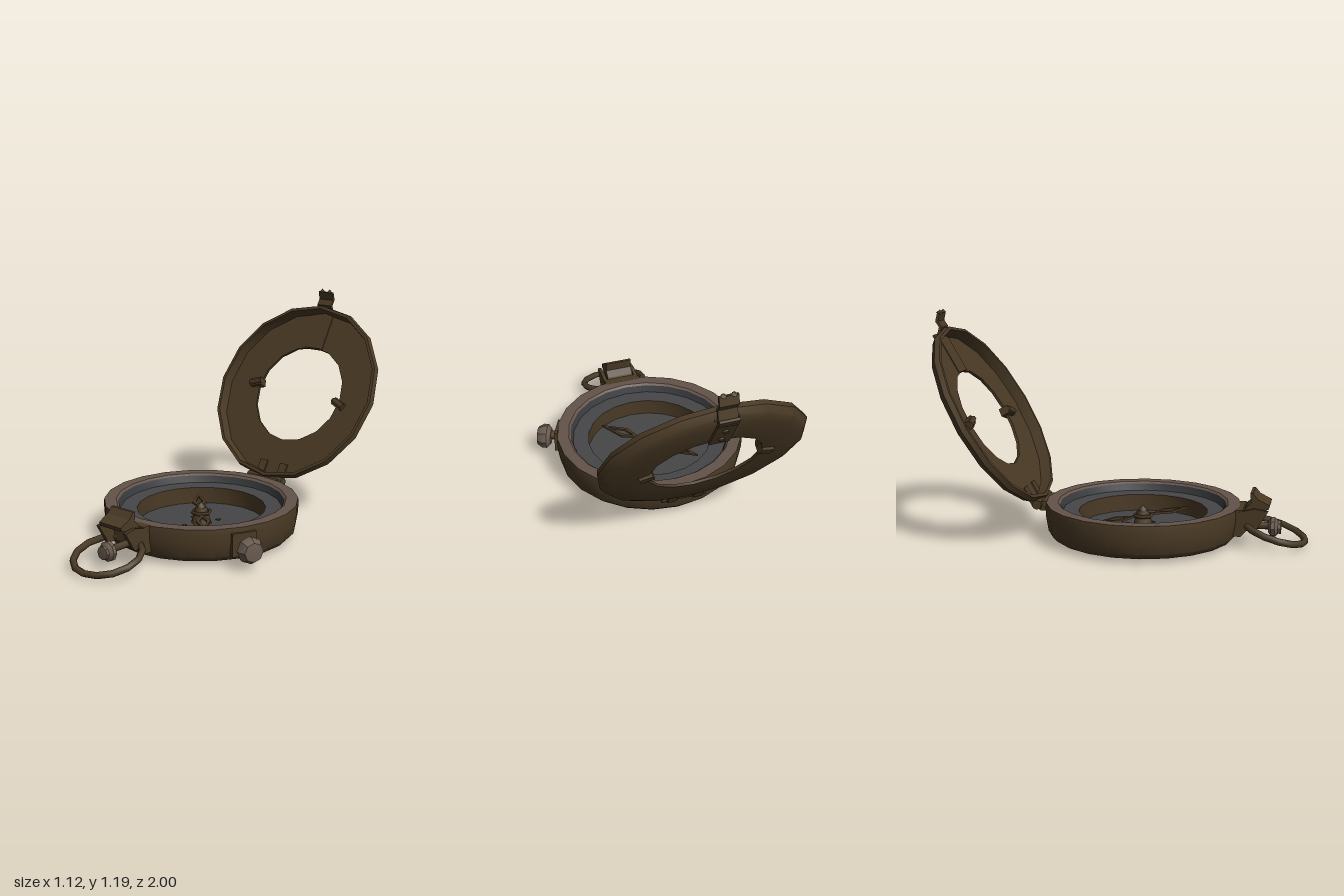
import * as THREE from 'three';
import { toCreasedNormals } from 'three/addons/utils/BufferGeometryUtils.js';

const mat = (name, color) => {
  const m = new THREE.MeshStandardMaterial({ color, side: THREE.DoubleSide });
  m.name = name;
  return m;
};
const CX = -0.037, CZ = 0.125; // axis of the case

export function createModel() {
  const bronze = mat('dark bronze', 0x4a3a25);
  const rimTone = mat('worn rim', 0x64544a);
  const grey = mat('dial grey', 0x464648);
  const shade = mat('dark inner band', 0x393b3e);
  const steel = mat('knob metal', 0x6a5b50);

  const root = new THREE.Group();
  root.name = 'pocketCompass';

  const add = (parent, name, geo, material, x = 0, y = 0, z = 0) => {
    const mesh = new THREE.Mesh(geo, material);
    mesh.name = name;
    mesh.position.set(x, y, z);
    parent.add(mesh);
    return mesh;
  };
  const lathe = (pts, seg) => toCreasedNormals(
    new THREE.LatheGeometry(pts.map(p => new THREE.Vector2(...p)), seg), 0.6);
  const box = (w, h, d) => new THREE.BoxGeometry(w, h, d);
  // side outline given as (z, y), extruded across x
  const prism = (pts, width) => {
    const shape = new THREE.Shape(pts.map(p => new THREE.Vector2(...p)));
    const g = new THREE.ExtrudeGeometry(shape, { depth: width, bevelEnabled: false });
    return g.translate(0, 0, -width / 2).rotateY(-Math.PI / 2);
  };

  // Case: one continuous turned profile, split by colour
  const base = new THREE.Group();
  base.name = 'case';
  base.position.set(CX, 0, CZ);
  root.add(base);
  [
    ['caseShell', [[0, 0.003], [0.08, 0.003], [0.085, 0.006], [0.25, 0.006], [0.27, 0.002], [0.39, 0.008],
      [0.475, 0.024], [0.5, 0.05], [0.512, 0.12], [0.515, 0.175], [0.512, 0.2]], bronze],
    ['caseRim', [[0.512, 0.2], [0.45, 0.2], [0.438, 0.19]], rimTone],
    ['innerBand', [[0.438, 0.19], [0.425, 0.153]], shade],
    ['dialRing', [[0.425, 0.153], [0.34, 0.15]], grey],
    ['wellWall', [[0.34, 0.15], [0.34, 0.06]], bronze],
    ['dialFloor', [[0.34, 0.06], [0, 0.06]], grey],
  ].forEach(([n, p, m]) => add(base, n, lathe(p, 22), m));

  // Needle: two open diamonds around a hub
  const diamond = (a, b, w) => [[a, 0], [a + (b - a) * 0.4, -w], [b, 0], [a + (b - a) * 0.4, w]]
    .map(p => new THREE.Vector2(...p));
  const needleShape = new THREE.Shape(diamond(0.06, 0.3, 0.038));
  needleShape.holes.push(new THREE.Path(diamond(0.1, 0.255, 0.02)));
  const needleGeo = new THREE.ExtrudeGeometry(needleShape, { depth: 0.012, bevelEnabled: false });
  needleGeo.rotateX(-Math.PI / 2);
  for (const turn of [-Math.PI / 4, Math.PI * 0.75]) {
    add(base, 'needleArm', needleGeo, bronze, 0, 0.115, 0).rotation.y = turn;
  }
  add(base, 'needleHub', new THREE.CylinderGeometry(0.03, 0.055, 0.09, 6), bronze, 0, 0.105, 0);
  add(base, 'needleCap', new THREE.ConeGeometry(0.025, 0.03, 6), bronze, 0, 0.165, 0);
  const collar = new THREE.TorusGeometry(0.05, 0.01, 4, 6).rotateX(Math.PI / 2);
  add(base, 'needleCollar', collar, bronze, 0, 0.122, 0);
  for (let i = 0; i < 4; i++) {
    const a = i * Math.PI / 2 + 0.4;
    add(base, 'dialMark', box(0.02, 0.004, 0.02), bronze,
      Math.cos(a) * 0.1, 0.063, Math.sin(a) * 0.1);
  }

  // Lid: shallow ring-shaped cup, leaning back
  const lid = new THREE.Group();
  lid.name = 'lid';
  lid.position.set(CX, 0.612, -0.73);
  lid.rotation.x = THREE.MathUtils.degToRad(59.5);
  root.add(lid);
  add(lid, 'lidCup', lathe([[0.285, 0.015], [0.285, 0], [0.46, 0], [0.505, 0.018], [0.528, 0.05],
    [0.52, 0.077], [0.503, 0.077], [0.495, 0.015], [0.285, 0.015]], 16), bronze);
  add(lid, 'lidInnerPlate', box(0.12, 0.006, 0.22), bronze, 0, 0.017, -0.39);
  add(lid, 'lidStrap', box(0.1, 0.014, 0.24), bronze, 0, -0.006, -0.4);
  for (const z of [-0.33, -0.42]) {
    add(lid, 'strapRivet', new THREE.CylinderGeometry(0.016, 0.016, 0.012, 8), bronze, 0, -0.016, z);
  }
  for (const [x, z, turn] of [[-0.305, -0.02, 0.3], [0.295, 0.025, -0.4]]) {
    const clip = new THREE.Group();
    clip.name = 'sightClip';
    clip.position.set(x, 0.012, z);
    clip.rotation.y = turn;
    lid.add(clip);
    add(clip, 'clipBlock', box(0.07, 0.055, 0.045), bronze);
    const pin = add(clip, 'clipPin', new THREE.CylinderGeometry(0.016, 0.016, 0.08, 6), bronze, 0, 0.025, 0);
    pin.rotation.z = Math.PI / 2;
  }

  // Bent catch at the top of the lid
  add(root, 'lidCatch', prism([[-0.99, 1.02], [-0.975, 1.02], [-0.952, 1.1], [-0.972, 1.13], [-0.962, 1.175],
    [-0.976, 1.175], [-0.988, 1.13], [-0.968, 1.1]], 0.095), bronze, CX, 0, 0);
  for (const s of [-1, 1]) {
    add(root, 'catchTooth', new THREE.ConeGeometry(0.02, 0.018, 4), bronze, CX + s * 0.025, 1.182, -0.97);
  }

  // Hinge
  const hingePin = new THREE.CylinderGeometry(0.026, 0.026, 0.24, 8).rotateZ(Math.PI / 2);
  add(root, 'hingePin', hingePin, bronze, CX, 0.178, -0.425);
  add(root, 'hingeLeaf', box(0.2, 0.05, 0.05), bronze, CX, 0.17, -0.39);
  for (const s of [-1, 1]) {
    const leaf = add(root, 'hingeLidLeaf', box(0.05, 0.11, 0.015), bronze, CX + s * 0.07, 0.21, -0.475);
    leaf.rotation.x = -0.53;
  }

  // Front latch: lug block with a raised thumb piece
  add(root, 'latchBlock', prism([[0.61, 0.06], [0.65, 0.06], [0.685, 0.1], [0.685, 0.165], [0.66, 0.2],
    [0.61, 0.2]], 0.2), bronze, CX, 0, 0);
  add(root, 'thumbPiece', prism([[0.65, 0.17], [0.71, 0.185], [0.79, 0.205], [0.795, 0.225], [0.735, 0.255],
    [0.71, 0.285], [0.695, 0.285], [0.7, 0.235], [0.67, 0.205]], 0.15), bronze, CX, 0, 0);
  for (const s of [-1, 1]) {
    add(root, 'latchCheek', prism([[0.64, 0.09], [0.73, 0.1], [0.79, 0.2], [0.72, 0.21], [0.64, 0.19]], 0.02),
      bronze, CX + s * 0.092, 0, 0);
  }

  // Latch screw with a turned head
  const latchPost = new THREE.CylinderGeometry(0.02, 0.02, 0.12, 8).rotateX(Math.PI / 2);
  add(root, 'latchPost', latchPost, bronze, CX, 0.1, 0.73);
  const screw = lathe([[0, 0], [0.03, 0], [0.052, 0.015], [0.052, 0.035], [0.035, 0.05], [0.035, 0.065],
    [0, 0.068]], 8).rotateX(Math.PI / 2);
  add(root, 'latchScrew', screw, steel, CX, 0.095, 0.785);

  // Carrying ring, sloping down to the front
  const loop = [];
  for (let i = 0; i < 12; i++) {
    const a = i / 12 * Math.PI * 2;
    const z = 0.815 + Math.cos(a) * 0.16;
    loop.push(new THREE.Vector3(CX + Math.sin(a) * 0.18, 0.125 - 0.3 * (z - 0.655), z));
  }
  const ringPath = new THREE.CatmullRomCurve3(loop, true);
  add(root, 'carryRing', new THREE.TubeGeometry(ringPath, 14, 0.018, 6, true), bronze);

  // Side knob, pointing outward from the case
  const knob = new THREE.Group();
  knob.name = 'sideKnob';
  knob.position.set(CX, 0.115, CZ);
  knob.rotation.y = -0.43;
  root.add(knob);
  add(knob, 'knobBracket', box(0.04, 0.12, 0.13), bronze, 0.505, 0, 0);
  const stem = new THREE.CylinderGeometry(0.025, 0.025, 0.06, 8).rotateZ(Math.PI / 2);
  add(knob, 'knobStem', stem, bronze, 0.54, 0, 0);
  const head = lathe([[0, 0], [0.045, 0], [0.068, 0.02], [0.068, 0.045], [0.05, 0.075], [0, 0.08]], 8);
  add(knob, 'knobHead', head.rotateZ(-Math.PI / 2), steel, 0.555, -0.01, 0);

  return root;
}
